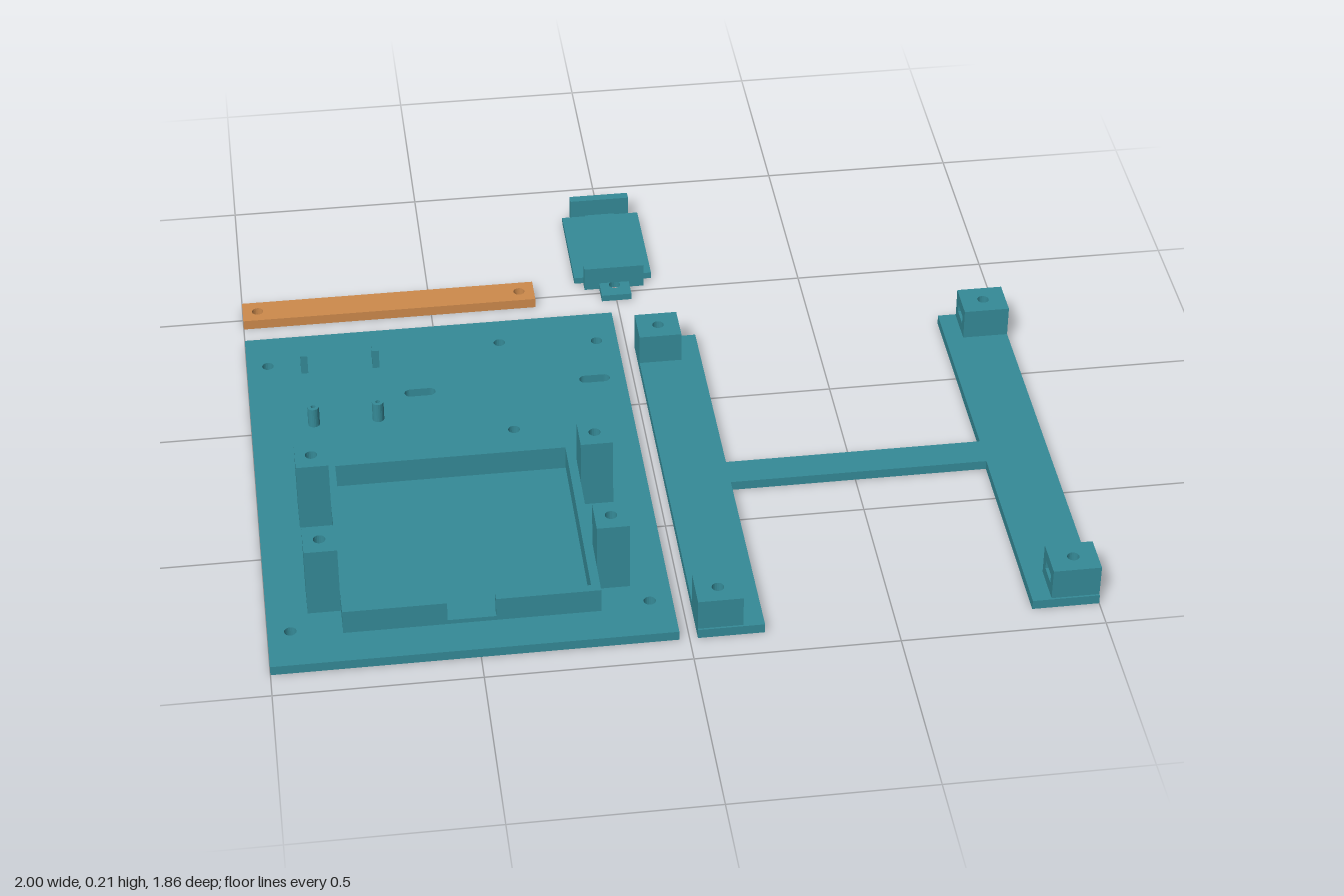
import * as THREE from 'three';

const teal = new THREE.MeshStandardMaterial({ color: 0x358a97 });
teal.name = 'teal plastic';
const orange = new THREE.MeshStandardMaterial({ color: 0xcd8a4c });
orange.name = 'orange plastic';

// Closed path through [x, z] points
const outline = (points) => new THREE.Shape(points.map(([x, z]) => new THREE.Vector2(x, -z)));
const rect = (x0, x1, z0, z1) => outline([[x0, z1], [x1, z1], [x1, z0], [x0, z0]]);

const round = (x, z, r = 0.015) => new THREE.Path().absarc(x, -z, r, 0, Math.PI * 2, true);

// Rounded slot lying along x
function slot(x, z, length, width) {
  const r = width / 2, d = length / 2 - r;
  const p = new THREE.Path();
  p.absarc(x + d, -z, r, -Math.PI / 2, Math.PI / 2, false);
  p.absarc(x - d, -z, r, Math.PI / 2, Math.PI * 1.5, false);
  p.closePath();
  return p;
}

// Upright slab from y0 to y1 with through holes
function slab(parent, name, shape, y0, y1, holes = [], material = teal) {
  shape.holes.push(...holes);
  const g = new THREE.ExtrudeGeometry(shape, { depth: y1 - y0, bevelEnabled: false, curveSegments: 10 });
  g.rotateX(-Math.PI / 2);
  g.translate(0, y0, 0);
  const mesh = new THREE.Mesh(g, material);
  mesh.name = name;
  parent.add(mesh);
  return mesh;
}

function group(parent, name) {
  const g = new THREE.Group();
  g.name = name;
  parent.add(g);
  return g;
}

function buildBasePlate(parent) {
  const base = group(parent, 'basePlate');
  const posts = [[-0.86, 0.372], [-0.86, 0.698], [-0.16, 0.372], [-0.16, 0.698]];
  const pins = [[-0.84, 0.005], [-0.675, 0.005]];
  const screws = [[-0.945, -0.255], [-0.08, -0.255], [-0.335, -0.28], [-0.335, 0.095], [-0.945, 0.805], [-0.08, 0.805]];
  slab(base, 'plate', rect(-1, -0.025, -0.375, 0.927), 0, 0.025, [
    ...screws.map(([x, z]) => round(x, z)),
    ...posts.map(([x, z]) => round(x, z)),
    ...pins.map(([x, z]) => round(x, z, 0.006)),
    slot(-0.56, -0.092, 0.08, 0.03),
    slot(-0.105, -0.092, 0.08, 0.03),
  ]);

  // Battery-style tray walls with a cable notch at the front
  slab(base, 'trayWallLow', rect(-0.82, -0.2, 0.245, 0.827), 0.025, 0.037, [rect(-0.8, -0.222, 0.268, 0.805)]);
  slab(base, 'trayWall', outline([
    [-0.57, 0.827], [-0.57, 0.805], [-0.8, 0.805], [-0.8, 0.268], [-0.222, 0.268], [-0.222, 0.805],
    [-0.453, 0.805], [-0.453, 0.827], [-0.2, 0.827], [-0.2, 0.245], [-0.82, 0.245], [-0.82, 0.827],
  ]), 0.037, 0.09);

  // Tall drilled posts beside the tray
  for (const [x, z] of posts)
    slab(base, 'tallPost', rect(x - 0.04, x + 0.04, z - 0.047, z + 0.047), 0.025, 0.213, [round(x, z)]);

  // Small standoffs: hollow round pins and square pegs
  for (const [x, z] of pins) {
    const disc = new THREE.Shape().absarc(x, -z, 0.015, 0, Math.PI * 2, false);
    slab(base, 'roundPin', disc, 0.025, 0.08, [round(x, z, 0.006)]);
  }
  for (const x of [-0.851, -0.665])
    slab(base, 'squarePeg', rect(x - 0.009, x + 0.009, -0.238, -0.212), 0.025, 0.08);
}

function buildFrame(parent) {
  const frame = group(parent, 'railFrame');
  slab(frame, 'rails', outline([
    [0.02, 0.927], [0.182, 0.927], [0.182, 0.38], [0.835, 0.38], [0.835, 0.927], [1, 0.927],
    [1, -0.248], [0.835, -0.248], [0.835, 0.298], [0.182, 0.298], [0.182, -0.248], [0.02, -0.248],
  ]), 0, 0.025);

  // Corner blocks: blind screw hole on top, nut slot on the inner side
  for (const [outer, inner] of [[0.02, 0.13], [1, 0.882]])
    for (const z of [-0.193, 0.872]) {
      const block = group(frame, 'cornerBlock');
      const x0 = Math.min(outer, inner), x1 = Math.max(outer, inner);
      const hole = (outer + inner) / 2;
      const box = () => rect(x0, x1, z - 0.05, z + 0.05);
      const deep = hole + Math.sign(outer - inner) * 0.026;
      slab(block, 'blockFoot', box(), 0.025, 0.055, [round(hole, z)]);
      slab(block, 'nutSlot', outline([
        [inner, z + 0.05], [outer, z + 0.05], [outer, z - 0.05], [inner, z - 0.05],
        [inner, z - 0.027], [deep, z - 0.027], [deep, z + 0.027], [inner, z + 0.027],
      ]), 0.055, 0.078);
      slab(block, 'blockTop', box(), 0.078, 0.108, [round(hole, z)]);
    }
}

function buildCradle(parent) {
  const cradle = group(parent, 'cradle');
  // Floor with a drilled tab at each end
  slab(cradle, 'cradleFloor', outline([
    [-0.04, -0.463], [0.04, -0.463], [0.04, -0.553], [0.105, -0.553], [0.105, -0.842], [0.04, -0.842],
    [0.04, -0.933], [-0.04, -0.933], [-0.04, -0.842], [-0.104, -0.842], [-0.104, -0.553], [-0.04, -0.553],
  ]), 0, 0.018, [round(0, -0.885), round(0, -0.51)]);
  // Upright end walls: above the tab, with side lugs reaching down
  for (const z of [-0.858, -0.533]) {
    slab(cradle, 'endWall', rect(-0.08, 0.08, z - 0.012, z + 0.012), 0.018, 0.067);
    for (const s of [-1, 1])
      slab(cradle, 'endWallLug', rect(s * 0.06 - 0.02, s * 0.06 + 0.02, z - 0.012, z + 0.012), 0, 0.018);
  }
}

export function createModel() {
  const model = new THREE.Group();
  model.name = 'plateKit';
  buildBasePlate(model);
  buildFrame(model);
  buildCradle(model);
  // Drilled clamp strip
  slab(model, 'clampStrip', rect(-1, -0.22, -0.54, -0.46), 0, 0.027, [round(-0.96, -0.5), round(-0.26, -0.5)], orange);
  return model;
}
